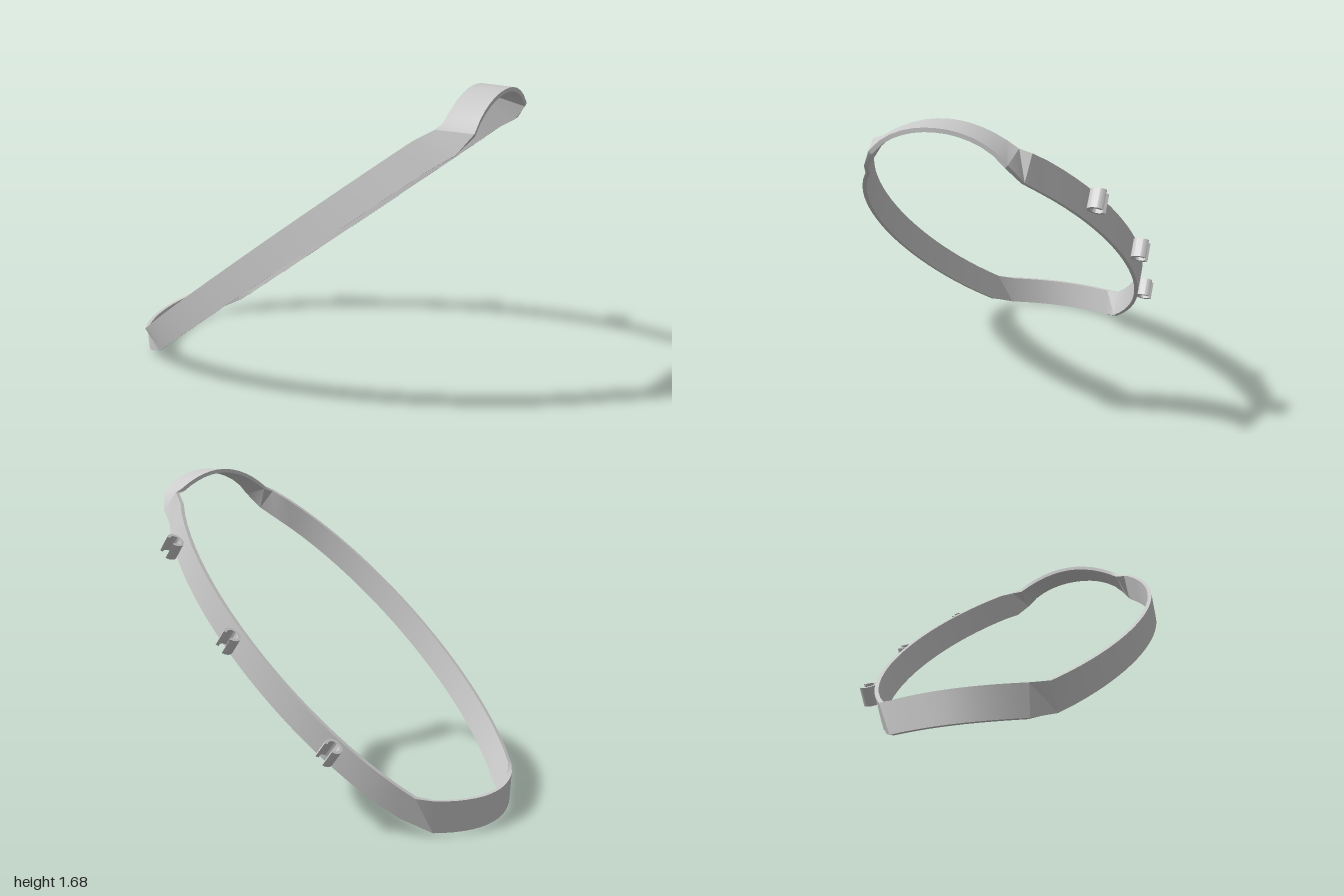
import * as THREE from 'three';
import { toCreasedNormals } from 'three/addons/utils/BufferGeometryUtils.js';

const ZC = 0.045;                                    // middle plane of the loop
const SLOPE = new THREE.Vector3(0.773, 0.634, 0).normalize();
const ACROSS = new THREE.Vector3(-SLOPE.y, SLOPE.x, 0); // across the tilted band
const WIDTH = 0.147, THICK = 0.02;

// Half of the loop as sections [upper x, y, lower x, y, half-width]
function halfSections() {
  const s = [];
  // high arch
  for (let i = 0; i <= 6; i++) {
    const q = i / 6, y = 1.685 - 0.105 * q * q;
    s.push([0.84, y, 1.0 - 0.01 * q, y - 0.03 * q ** 6, 0.32 * q]);
  }
  s.push([0.825, 1.56, 0.93, 1.46, 0.375]);
  // straight tilted side, elliptical in its own plane
  const n = 24;
  for (let i = 0; i <= n; i++) {
    const t = 0.79 - 1.6 * i / n;
    const ax = t - 0.05, ay = 0.9 + 0.82 * ax;
    s.push([ax, ay, ax - ACROSS.x * WIDTH, ay - ACROSS.y * WIDTH, 0.66 * Math.sqrt(1 - (t / 1.02) ** 2)]);
  }
  // low bow
  for (let i = 6; i >= 0; i--) {
    const q = i / 6, x = -1 + 0.085 * q * q;
    s.push([x, 0.155 + 0.02 * q * q, x + 0.012, 0.02 * q * q, 0.32 * q]);
  }
  return s;
}

// Thin rectangular section carried around the closed loop
function bandGeometry() {
  const half = halfSections();
  const place = (s, side) => ({
    a: new THREE.Vector3(s[0], s[1], ZC + side * s[4]),
    b: new THREE.Vector3(s[2], s[3], ZC + side * s[4]),
  });
  const loop = [
    ...half.map(s => place(s, -1)),
    ...half.slice(1, -1).reverse().map(s => place(s, 1)),
  ];
  const n = loop.length;
  const mid = i => loop[(i + n) % n].a.clone().add(loop[(i + n) % n].b);
  const pos = [], idx = [];
  loop.forEach(({ a, b }, i) => {
    const tangent = mid(i + 1).sub(mid(i - 1));
    const inward = a.clone().sub(b).cross(tangent).normalize().multiplyScalar(THICK);
    for (const p of [a, b, b.clone().add(inward), a.clone().add(inward)]) pos.push(p.x, p.y, p.z);
    const j = (i + 1) % n;
    for (let k = 0; k < 4; k++) {
      const m = (k + 1) % 4;
      idx.push(i * 4 + k, i * 4 + m, j * 4 + m, i * 4 + k, j * 4 + m, j * 4 + k);
    }
  });
  const g = new THREE.BufferGeometry();
  g.setAttribute('position', new THREE.Float32BufferAttribute(pos, 3));
  g.setIndex(idx);
  return toCreasedNormals(g, 0.45);
}

// Open C-shaped ring, its gap towards +y of the shape
function clipGeometry() {
  const R = 0.046, r = 0.03, gap = 0.65, length = 0.095;
  const from = Math.PI / 2 + gap, to = Math.PI * 2.5 - gap;
  const shape = new THREE.Shape();
  shape.absarc(0, 0, R, from, to, false);
  shape.absarc(0, 0, r, to, from, true);
  shape.closePath();
  const g = new THREE.ExtrudeGeometry(shape, { depth: length, bevelEnabled: false, curveSegments: 20 });
  g.translate(0, 0, -length / 2);
  return toCreasedNormals(g, 0.6);
}

export function createModel() {
  const group = new THREE.Group();
  group.name = 'bandWithClips';
  const material = new THREE.MeshStandardMaterial({ color: 0xcccccc });

  const band = new THREE.Mesh(bandGeometry(), material);
  band.name = 'band';
  group.add(band);

  // three clips along the back
  const clip = clipGeometry();
  const basis = new THREE.Matrix4().makeBasis(SLOPE, new THREE.Vector3(0, 0, -1), ACROSS);
  [['lowClip', -0.52, 0.395, -0.572], ['middleClip', 0.06, 0.865, -0.66], ['highClip', 0.585, 1.29, -0.565]]
    .forEach(([name, x, y, z]) => {
      const mesh = new THREE.Mesh(clip, material);
      mesh.name = name;
      mesh.quaternion.setFromRotationMatrix(basis);
      mesh.position.set(x, y, z);
      group.add(mesh);
    });
  return group;
}
